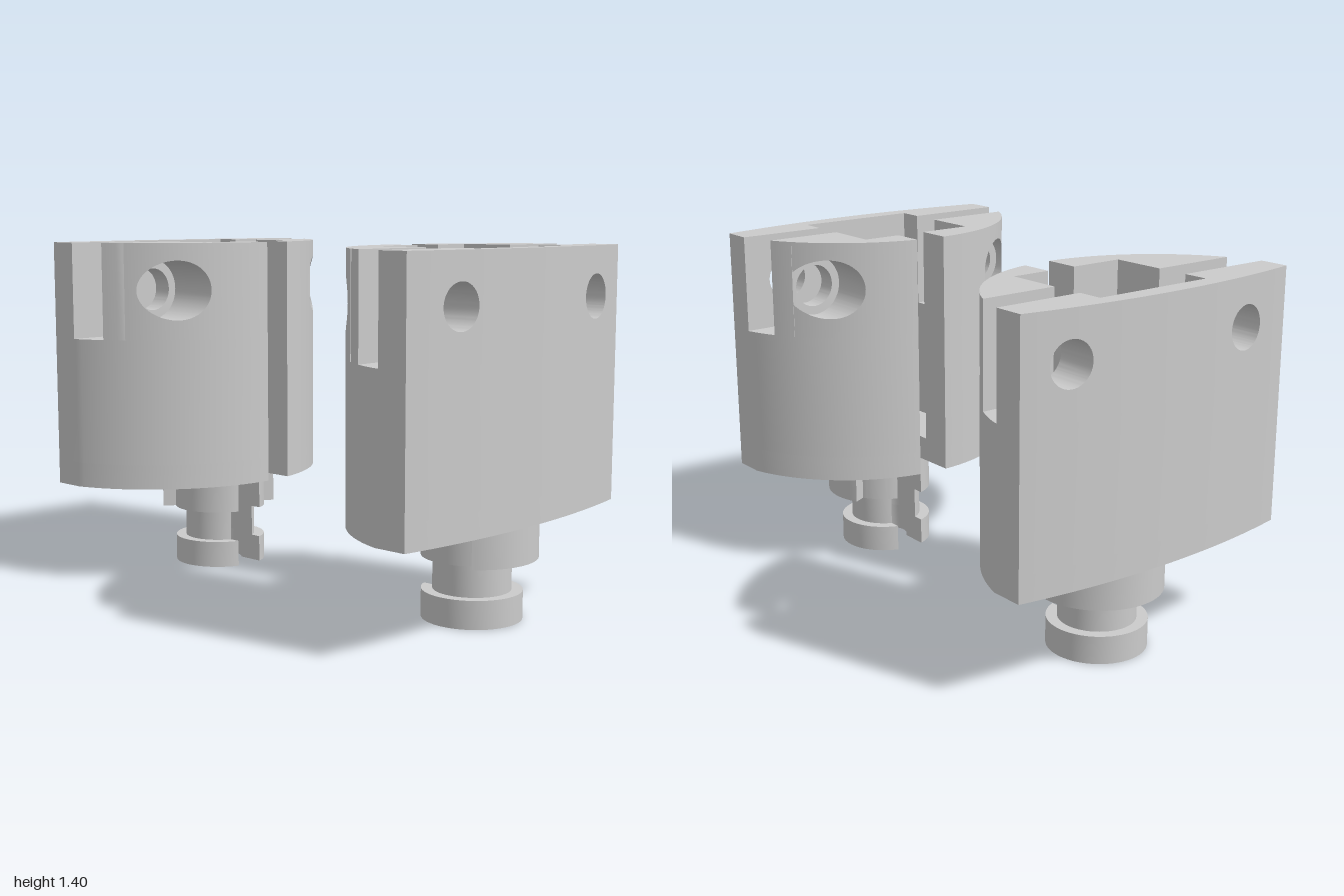
import * as THREE from 'three';
import { toCreasedNormals } from 'three/addons/utils/BufferGeometryUtils.js';

const BASE = 0.4, FLOOR = 0.5, SLOT = 1.01, TOP = 1.4;    // body heights
const HALF = 0.635, R_IN = 0.66, Z_IN = 0.99, R_OUT = 3.39; // plan of the body
const CX = 0.0525, CZ = 0.7, KEY_R = 0.093, KEY_H = 0.0625; // keyhole
const PX0 = -0.23, PX1 = 0.275, PZ0 = 0.47, PZ1 = 0.92;   // square pocket
const BORE_Y = 1.21, BORES = [-0.39, 0.44];

const material = new THREE.MeshStandardMaterial({ color: 0xcccccc });
const innerZ = x => Z_IN - Math.sqrt(R_IN * R_IN - x * x);
const outerZ = x => 1 - R_OUT + Math.sqrt(R_OUT * R_OUT - x * x);

// x positions evenly spaced along the round inner wall
function spread(x0, x1, n) {
  const a = Math.asin(x0 / R_IN), b = Math.asin(x1 / R_IN);
  return Array.from({ length: n + 1 }, (_, i) => R_IN * Math.sin(a + (b - a) * i / n));
}

function addMesh(group, name, geometry) {
  const mesh = new THREE.Mesh(toCreasedNormals(geometry, 0.5), material);
  mesh.name = name;
  group.add(mesh);
}

// Plan points [x, z] raised from y0 to y1
function prism(points, y0, y1) {
  const shape = new THREE.Shape(points.map(p => new THREE.Vector2(p[0], p[1])));
  const g = new THREE.ExtrudeGeometry(shape, { depth: y1 - y0, bevelEnabled: false });
  return g.rotateX(Math.PI / 2).translate(0, y1, 0);
}

// Round end of the keyhole, walked from its left side to its right side
function keyhole() {
  const s = Math.asin(KEY_H / KEY_R), a = 1.5 * Math.PI - s, b = -0.5 * Math.PI + s;
  return Array.from({ length: 33 }, (_, i) => {
    const t = a + (b - a) * i / 32;
    return [CX + KEY_R * Math.cos(t), CZ + KEY_R * Math.sin(t)];
  });
}

// Body outline, open at the slot on the inner side
function bodyOutline() {
  return [
    ...spread(CX + KEY_H, HALF, 32).map(x => [x, innerZ(x)]),
    ...spread(HALF, -HALF, 32).map(x => [x, outerZ(x)]),
    ...spread(-HALF, CX - KEY_H, 32).map(x => [x, innerZ(x)]),
  ];
}

// Slotted ring; larger radius between two angles makes a cam step
function ring(r, big = r, from = 0, to = 0) {
  const s = Math.asin(KEY_H / r), a = -0.5 * Math.PI + s, b = 1.5 * Math.PI - s;
  const points = [];
  const arc = (rad, t0, t1, n) => {
    for (let i = 0; i <= n; i++) {
      const t = t0 + (t1 - t0) * i / n;
      points.push([CX + rad * Math.cos(t), CZ + rad * Math.sin(t)]);
    }
  };
  if (big === r) arc(r, a, b, 64);
  else {
    arc(r, a, from, 16);
    arc(big, from, to, 40);
    arc(r, to, b, 24);
  }
  return [...points, ...keyhole()];
}

// Upright slab between two z functions, from SLOT to TOP, with a round bore along z
function boredSlab(x0, x1, zA, zB, bx = 9, r = 0) {
  const pos = [];
  const quad = (a, b, c, d) => pos.push(...a, ...b, ...c, ...a, ...c, ...d);
  const rise = x => Math.sqrt(Math.max(0, r * r - (x - bx) ** 2));
  const xs = spread(x0, x1, 24);
  for (let i = 0; i <= 32 && r; i++) xs.push(bx - r * Math.cos(Math.PI * i / 32));
  const cols = xs.filter(x => x >= x0 - 1e-6 && x <= x1 + 1e-6).sort((a, b) => a - b);
  for (let i = 0; i + 1 < cols.length; i++) {
    const a = cols[i], b = cols[i + 1];
    if (b - a < 1e-6) continue;
    const cut = Math.abs((a + b) / 2 - bx) < r;
    const parts = cut
      ? [[() => SLOT, x => BORE_Y - rise(x)], [x => BORE_Y + rise(x), () => TOP]]
      : [[() => SLOT, () => TOP]];
    for (const [lo, hi] of parts) {
      const corner = (x, y, z) => [x, y(x), z(x)];
      const A = corner(a, lo, zA), B = corner(b, lo, zA), C = corner(b, hi, zA), D = corner(a, hi, zA);
      const E = corner(a, lo, zB), F = corner(b, lo, zB), G = corner(b, hi, zB), H = corner(a, hi, zB);
      quad(E, F, G, H);
      quad(B, A, D, C);
      quad(D, H, G, C);
      quad(A, B, F, E);
      if (i === 0) quad(A, E, H, D);
      if (i === cols.length - 2) quad(F, B, C, G);
    }
  }
  const g = new THREE.BufferGeometry();
  g.setAttribute('position', new THREE.Float32BufferAttribute(pos, 3));
  g.computeVertexNormals();
  return g;
}

function createHalf(name) {
  const half = new THREE.Group();
  half.name = name;

  // Slotted stem
  addMesh(half, 'stemFoot', prism(ring(0.193), 0, 0.11));
  addMesh(half, 'stemNeck', prism(ring(0.15), 0.11, 0.24));
  addMesh(half, 'stemCollar', prism(ring(0.195, 0.25, -0.45, 2.5), 0.24, BASE));

  // Lower body: keyhole below, square pocket above
  const pocket = [[CX - KEY_H, PZ0], [PX0, PZ0], [PX0, PZ1], [PX1, PZ1], [PX1, PZ0], [CX + KEY_H, PZ0]];
  addMesh(half, 'bodyBase', prism([...bodyOutline(), ...keyhole()], BASE, FLOOR));
  addMesh(half, 'bodyMiddle', prism([...bodyOutline(), ...pocket], FLOOR, SLOT));

  // Outer plate above the cross slot, with two bores
  const flat = z => () => z;
  addMesh(half, 'outerPlateRight', boredSlab(-HALF, PX0, flat(0.82), outerZ, BORES[0], 0.085));
  addMesh(half, 'outerPlateMiddle', boredSlab(PX0, PX1, flat(PZ1), outerZ));
  addMesh(half, 'outerPlateLeft', boredSlab(PX1, HALF, flat(0.82), outerZ, BORES[1], 0.085));

  // Inner jaws with counterbored holes
  const reach = z => Math.sqrt(R_IN ** 2 - (Z_IN - z) ** 2);
  const step = x => Math.max(innerZ(x), 0.61);
  [[-1, PX0, CX - KEY_H, 'Right'], [1, PX1, CX + KEY_H, 'Left']].forEach(([s, px, kx, side], i) => {
    const slab = (a, b, ...rest) => boredSlab(Math.min(a, b), Math.max(a, b), ...rest);
    addMesh(half, 'jawCounterbore' + side, slab(px, s * reach(0.61), innerZ, flat(0.61), BORES[i], 0.12));
    addMesh(half, 'jawBore' + side, slab(px, s * reach(0.69), step, flat(0.69), BORES[i], 0.085));
    addMesh(half, 'jawLip' + side, slab(px, kx, innerZ, flat(PZ0)));
    // Jaw corner beside the pocket, behind the cross slot, is left open
  });
  return half;
}

export function createModel() {
  const model = new THREE.Group();
  model.name = 'clampPair';
  const front = createHalf('frontHalf');
  const back = createHalf('backHalf');
  back.scale.z = -1;
  model.add(front, back);
  return model;
}
